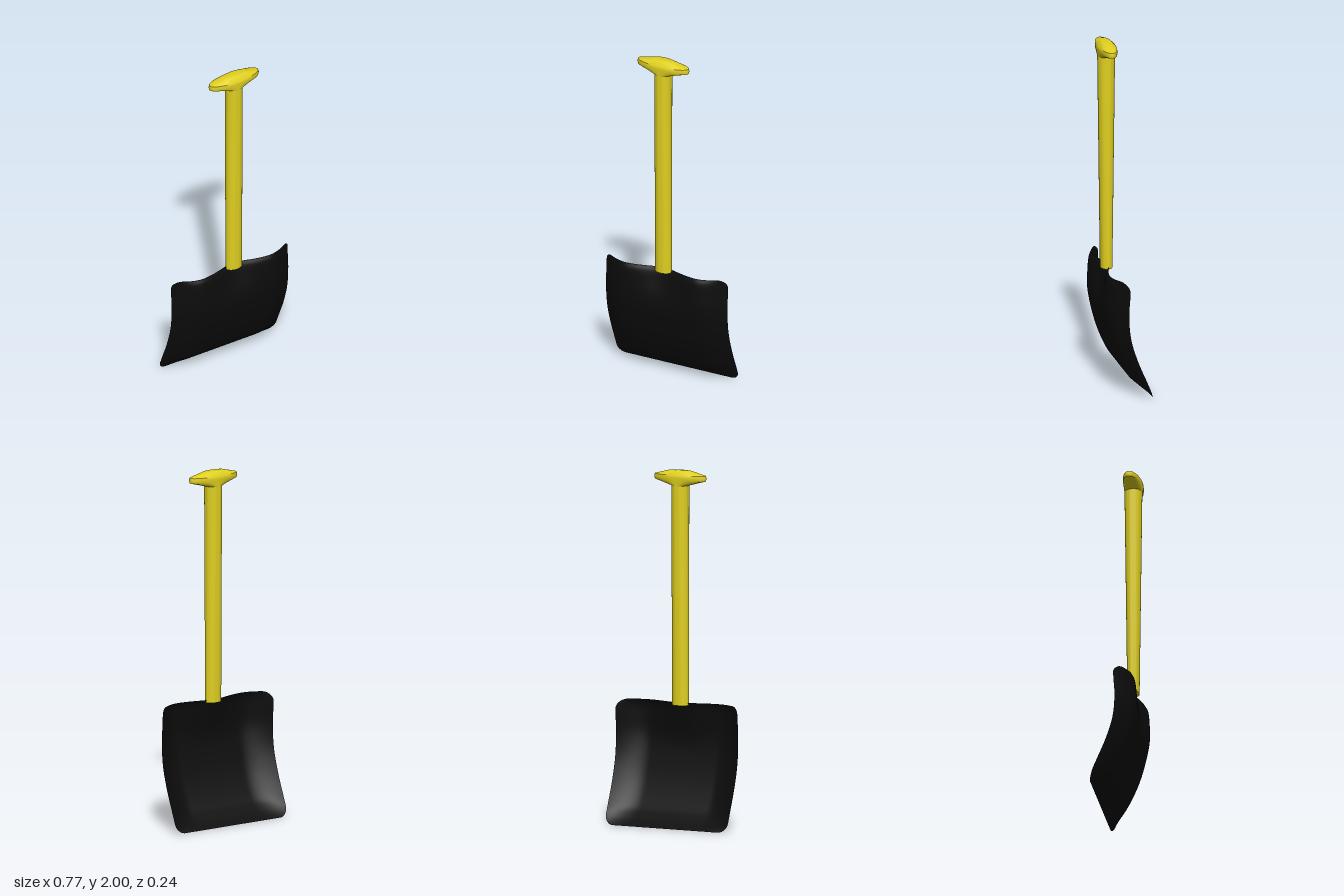
import * as THREE from 'three';
import { toCreasedNormals } from 'three/addons/utils/BufferGeometryUtils.js';

const HALF_WIDTH = 0.383, HEIGHT = 0.69, CORNER = 0.055;

// Thin dished blade: a plane bent between a centre profile and a side-edge profile
function makeBlade() {
  // each knot: height, z along the middle, z along the side edges
  const profile = new THREE.CatmullRomCurve3([
    [0, -0.122, -0.122], [0.05, -0.058, -0.1], [0.11, 0, -0.075],
    [0.23, 0.058, -0.025], [0.36, 0.097, 0.014], [0.49, 0.121, 0.026],
    [0.6, 0.12, 0.02], [0.66, 0.114, 0.018], [HEIGHT, 0.1, 0.022],
  ].map((p) => new THREE.Vector3(...p)), false, 'catmullrom', 0.5);

  const geo = new THREE.PlaneGeometry(2, 1, 56, 64);
  const pos = geo.attributes.position;
  for (let i = 0; i < pos.count; i++) {
    const t = (1 - Math.cos(Math.PI * (pos.getY(i) + 0.5))) / 2;
    const p = profile.getPoint(t);
    const y = THREE.MathUtils.clamp(p.x, 0, HEIGHT);

    // rounded corners narrow the first and last rows
    const d = Math.max(0, CORNER - Math.min(y, HEIGHT - y));
    const half = HALF_WIDTH - CORNER + Math.sqrt(CORNER * CORNER - d * d);
    const x = pos.getX(i) * half;

    // flat middle that curls back towards the sides
    const a = THREE.MathUtils.clamp((Math.abs(x) - 0.21) / (HALF_WIDTH - 0.21), 0, 1);
    const z = THREE.MathUtils.lerp(p.y, p.z, Math.pow(a, 1.8));

    // groove below the shaft, fading out downwards
    const groove = 0.045 * THREE.MathUtils.smoothstep(y, 0.42, HEIGHT) * Math.exp(-((x / 0.13) ** 2));
    pos.setXYZ(i, x, y, z - groove);
  }
  geo.computeVertexNormals();
  return geo;
}

// Stack of ellipses; each ring: height, half width, half depth
function makeEllipseLoft(rings, segments = 40) {
  const geo = new THREE.LatheGeometry(rings.map(([y, rx]) => new THREE.Vector2(rx, y)), segments);
  const pos = geo.attributes.position;
  for (let i = 0; i < pos.count; i++) {
    const [, rx, rz] = rings[i % rings.length];
    if (rx > 0) pos.setZ(i, pos.getZ(i) * rz / rx);
  }
  return toCreasedNormals(geo, 0.8);
}

export function createModel() {
  const model = new THREE.Group();
  model.name = 'shovel';
  const yellow = new THREE.MeshStandardMaterial({ color: 0xe0d020 });
  const black = new THREE.MeshStandardMaterial({ color: 0x0c0c0c, side: THREE.DoubleSide });

  const add = (name, geometry, material, z = 0) => {
    const mesh = new THREE.Mesh(geometry, material);
    mesh.name = name;
    mesh.position.z = z;
    model.add(mesh);
  };

  add('blade', makeBlade(), black);

  // shaft, thinner from front to back at its lower end
  add('shaft', makeEllipseLoft([
    [0.675, 0, 0], [0.675, 0.05, 0.034], [1.3, 0.05, 0.042], [1.92, 0.05, 0.05],
  ]), yellow, 0.066);

  // wide oval grip with a bevelled top
  add('grip', makeEllipseLoft([
    [1.915, 0.05, 0.05], [1.945, 0.158, 0.051], [1.96, 0.162, 0.052], [1.975, 0.158, 0.051],
    [1.998, 0.07, 0.028], [2, 0.05, 0.02], [2, 0, 0],
  ]), yellow, 0.066);

  return model;
}
